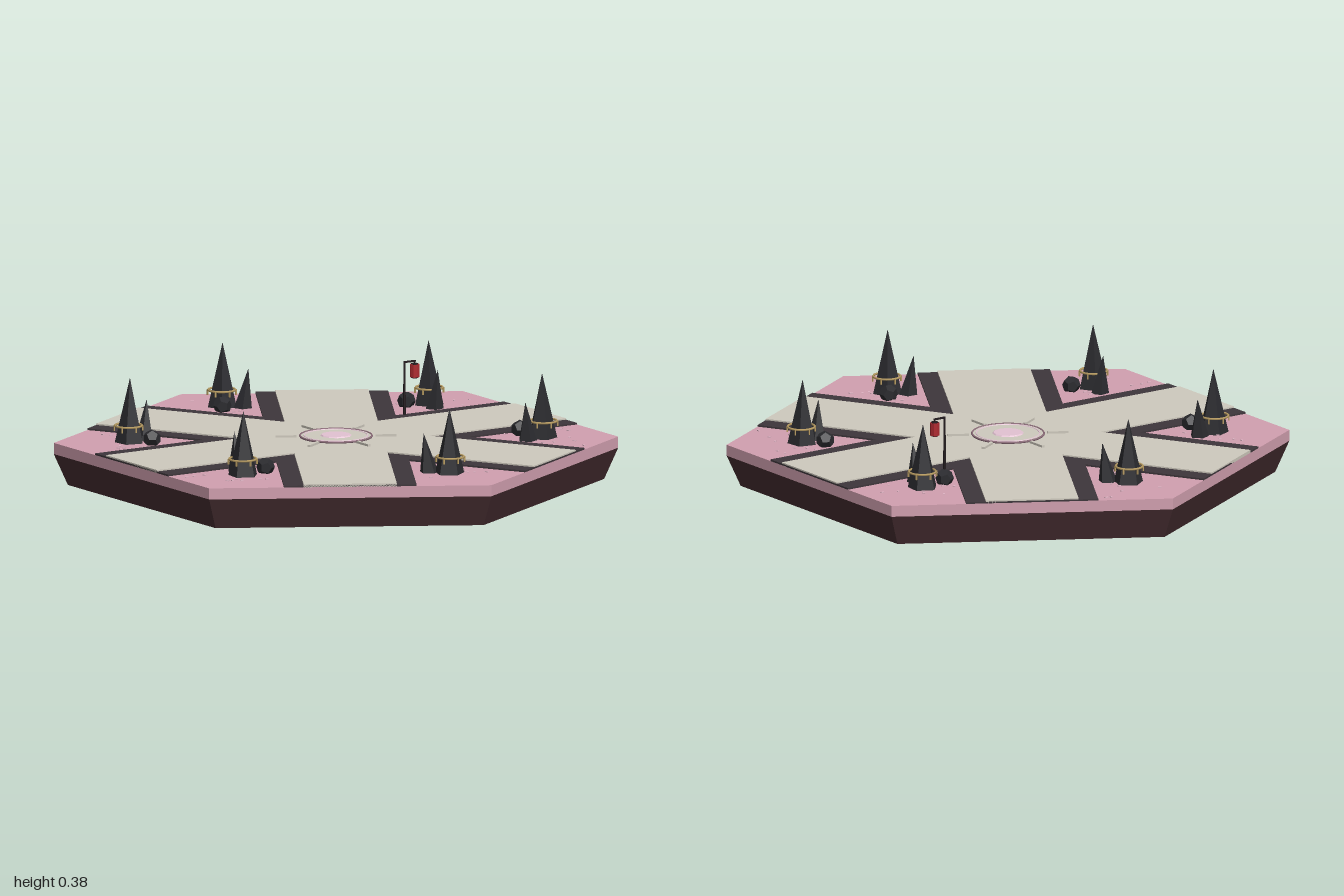
import * as THREE from 'three';

const mat = (color, flat = true) => new THREE.MeshStandardMaterial({ color, flatShading: flat });
const M = {
  earth: mat(0x4a3034), pink: mat(0xd2a0b0), kerb: mat(0x3e363b), path: mat(0xcfcabe),
  rock: mat(0x2b2b2f), gold: mat(0xb89c62, false), red: mat(0xb02a30), iron: mat(0x241c1f),
  petal: mat(0xe0b4c4), rim: mat(0x8f6f7c, false), bloom: mat(0xe3c3d3),
};

function add(parent, name, geometry, material, x = 0, y = 0, z = 0) {
  const mesh = new THREE.Mesh(geometry, material);
  mesh.name = name;
  mesh.position.set(x, y, z);
  parent.add(mesh);
  return mesh;
}

// Six-armed star of crossing roads with the given half width
function roadStar(w, height) {
  const pts = [];
  const apothem = Math.sqrt(3) / 2;
  for (let k = 0; k < 6; k++) {
    const a = k * Math.PI / 3, c = Math.cos(a), s = Math.sin(a);
    for (const e of [-w, w]) pts.push(new THREE.Vector2(apothem * c - e * s, apothem * s + e * c));
    const b = a + Math.PI / 6;
    pts.push(new THREE.Vector2(2 * w * Math.cos(b), 2 * w * Math.sin(b)));
  }
  return new THREE.ExtrudeGeometry(new THREE.Shape(pts), { depth: height, bevelEnabled: false })
    .rotateX(-Math.PI / 2);
}

// Cone standing on its base with the tip shifted sideways
function spike(radius, height, sides, leanX = 0, leanZ = 0) {
  const g = new THREE.ConeGeometry(radius, height, sides).translate(0, height / 2, 0);
  const p = g.attributes.position;
  for (let i = 0; i < p.count; i++) {
    const t = p.getY(i) / height;
    p.setX(i, p.getX(i) + leanX * t);
    p.setZ(i, p.getZ(i) + leanZ * t);
  }
  return g;
}

function seeded(seed) {
  return () => (seed = (seed * 16807) % 2147483647) / 2147483647;
}

// Rock spires with a ring of gold, built at the +z corner
function spireCluster(ground, rand) {
  const g = new THREE.Group();
  g.name = 'spireCluster';
  add(g, 'tallSpire', spike(0.054, 0.232, 5), M.rock, 0, ground, 0.73);
  add(g, 'smallSpire', spike(0.034, 0.14, 5, -0.018, -0.008), M.rock, -0.05, ground, 0.675);
  add(g, 'boulder', new THREE.DodecahedronGeometry(0.033), M.rock, 0.05, ground + 0.022, 0.655);
  add(g, 'goldRing', new THREE.TorusGeometry(0.048, 0.004, 6, 28).rotateX(Math.PI / 2),
    M.gold, 0, 0.212, 0.735);
  for (let i = 0; i < 6; i++) {
    const a = i * Math.PI / 3 + Math.PI / 6;
    add(g, 'ringPendant', new THREE.BoxGeometry(0.005, 0.02, 0.005), M.gold,
      0.05 * Math.cos(a), 0.203, 0.735 + 0.05 * Math.sin(a));
  }
  // Scattered petals around the spires
  for (let i = 0; i < 14; i++) {
    const z = 0.6 + rand() * 0.28;
    const reach = Math.min((z - 0.48) * 0.5, (1 - z) * 1.5);
    const petal = add(g, 'petal', new THREE.BoxGeometry(0.012, 0.003, 0.007), M.petal,
      (rand() * 2 - 1) * reach, ground + 0.003, z);
    petal.rotation.y = rand() * Math.PI;
  }
  return g;
}

export function createModel() {
  const model = new THREE.Group();
  model.name = 'hexagonPlaza';
  const ground = 0.152;

  // Hexagonal slab and garden layer
  add(model, 'earthBase', new THREE.CylinderGeometry(1, 0.95, 0.112, 6), M.earth, 0, 0.056, 0);
  add(model, 'gardenLayer', new THREE.CylinderGeometry(1, 1, 0.04, 6), M.pink, 0, 0.132, 0);

  // Roads with dark borders
  add(model, 'roadBorder', roadStar(0.235, 0.006), M.kerb, 0, ground, 0);
  add(model, 'road', roadStar(0.165, 0.011), M.path, 0, ground, 0);

  // Central medallion
  const top = 0.163;
  const medallion = new THREE.Group();
  medallion.name = 'medallion';
  model.add(medallion);
  add(medallion, 'disc', new THREE.CylinderGeometry(0.125, 0.125, 0.005, 40), M.path, 0, top + 0.0025, 0);
  add(medallion, 'outerRing', new THREE.TorusGeometry(0.127, 0.004, 6, 48).rotateX(Math.PI / 2),
    M.rim, 0, top + 0.004, 0);
  add(medallion, 'innerRing', new THREE.TorusGeometry(0.112, 0.0025, 6, 48).rotateX(Math.PI / 2),
    M.bloom, 0, top + 0.005, 0);
  add(medallion, 'centreStone', new THREE.CylinderGeometry(0.052, 0.056, 0.004, 12), M.bloom, 0, top + 0.007, 0);
  for (let i = 0; i < 6; i++) {
    const a = i * Math.PI / 3;
    const spoke = add(medallion, 'spoke', new THREE.BoxGeometry(0.011, 0.008, 0.075), M.path,
      0.177 * Math.sin(a), top + 0.004, 0.177 * Math.cos(a));
    spoke.rotation.y = a;
  }

  // One cluster in every garden corner
  const rand = seeded(4711);
  for (let i = 0; i < 6; i++) {
    const cluster = spireCluster(ground, rand);
    cluster.rotation.y = i * Math.PI / 3;
    model.add(cluster);
  }

  // Lamp post with hanging red lantern
  const lamp = new THREE.Group();
  lamp.name = 'lampPost';
  lamp.position.set(0.44, 0, -0.228);
  model.add(lamp);
  add(lamp, 'post', new THREE.CylinderGeometry(0.004, 0.005, 0.198, 8), M.iron, 0, 0.251, 0);
  add(lamp, 'arm', new THREE.BoxGeometry(0.05, 0.006, 0.006), M.iron, 0.022, 0.347, 0);
  add(lamp, 'hook', new THREE.CylinderGeometry(0.002, 0.002, 0.014, 6), M.iron, 0.043, 0.341, 0);
  add(lamp, 'lantern', new THREE.CylinderGeometry(0.017, 0.017, 0.046, 8), M.red, 0.043, 0.312, 0);
  for (const y of [0.288, 0.336])
    add(lamp, 'lanternCap', new THREE.CylinderGeometry(0.013, 0.013, 0.004, 8), M.iron, 0.043, y, 0);

  return model;
}
